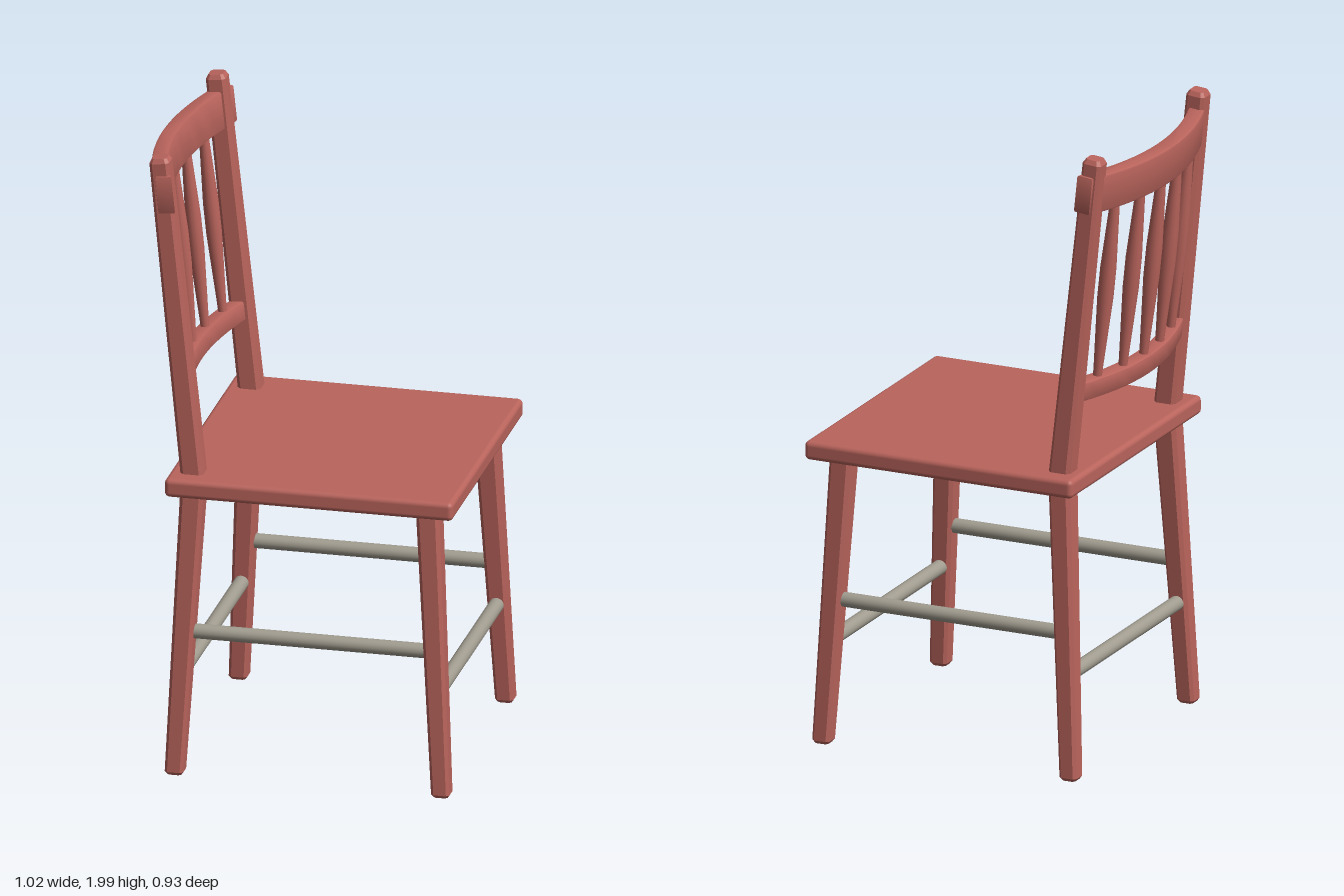
import * as THREE from 'three';
import { toCreasedNormals } from 'three/addons/utils/BufferGeometryUtils.js';
import { RoundedBoxGeometry } from 'three/addons/geometries/RoundedBoxGeometry.js';

const redWood = new THREE.MeshStandardMaterial({ color: 0xb9645c });
redWood.name = 'redWood';
const greyWood = new THREE.MeshStandardMaterial({ color: 0xa19c8f });
greyWood.name = 'greyWood';

// Tapered square bar with chamfered corners; each section is [x, y, z, halfWidth]
function chamferedBar(sections) {
  const c = 0.68;
  const outline = [[1, -c], [1, c], [c, 1], [-c, 1], [-1, c], [-1, -c], [-c, -1], [c, -1]];
  const rings = sections.map(([x, y, z, h]) => outline.map(([u, v]) => [x + u * h, y, z + v * h]));
  const pos = [];
  const tri = (...points) => points.forEach((p) => pos.push(...p));
  const top = rings[rings.length - 1];
  for (let i = 0; i < 8; i++) {
    const j = (i + 1) % 8;
    for (let k = 0; k < rings.length - 1; k++) {
      const a = rings[k], b = rings[k + 1];
      tri(a[i], b[i], a[j]);
      tri(a[j], b[i], b[j]);
    }
    tri(sections[0].slice(0, 3), rings[0][i], rings[0][j]);
    tri(sections[sections.length - 1].slice(0, 3), top[j], top[i]);
  }
  const geo = new THREE.BufferGeometry();
  geo.setAttribute('position', new THREE.Float32BufferAttribute(pos, 3));
  geo.computeVertexNormals();
  return geo;
}

// Backward bow of the rails at sideways position z
const bow = (z) => -0.065 * (1 - (z / 0.37) ** 2);

// Curved rail: bowed plan outline extruded upwards with a small bevel
function railGeometry(halfLength, thickness, height) {
  const bevel = 0.007, n = 16, half = thickness / 2 - bevel, len = halfLength - bevel;
  const front = [], back = [];
  for (let i = 0; i <= n; i++) {
    const z = len * (2 * i / n - 1);
    back.push(new THREE.Vector2(z, bow(z) - half));
    front.unshift(new THREE.Vector2(z, bow(z) + half));
  }
  const geo = new THREE.ExtrudeGeometry(new THREE.Shape([...back, ...front]), {
    depth: height - 2 * bevel, bevelThickness: bevel, bevelSize: bevel, bevelSegments: 2,
  });
  geo.translate(0, 0, bevel - height / 2);
  geo.applyMatrix4(new THREE.Matrix4().makeBasis(
    new THREE.Vector3(0, 0, 1), new THREE.Vector3(1, 0, 0), new THREE.Vector3(0, 1, 0)));
  return toCreasedNormals(geo, 0.5);
}

export function createModel() {
  const chair = new THREE.Group();
  chair.name = 'chair';
  const add = (parent, name, geo, material, x = 0, y = 0, z = 0) => {
    const mesh = new THREE.Mesh(geo, material);
    mesh.name = name;
    mesh.position.set(x, y, z);
    parent.add(mesh);
    return mesh;
  };

  // Seat
  add(chair, 'seat', new RoundedBoxGeometry(0.905, 0.06, 0.93, 3, 0.016), redWood, 0.055, 0.95, 0);

  // Splayed legs and side stretchers
  for (const s of [-1, 1]) {
    for (const [name, footX, topX] of [['frontLeg', 0.463, 0.413], ['backLeg', -0.373, -0.325]]) {
      add(chair, name, chamferedBar([
        [footX, 0.005, s * 0.416, 0.022],
        [footX, 0.015, s * 0.416, 0.029],
        [topX, 0.94, s * 0.371, 0.037],
      ]), redWood);
    }
    const side = add(chair, 'sideStretcher', new THREE.CylinderGeometry(0.023, 0.023, 0.78, 20), greyWood, 0.045, 0.465, s * 0.393);
    side.rotation.z = Math.PI / 2;
  }

  // Front and back stretchers
  for (const [name, x] of [['frontStretcher', 0.445], ['backStretcher', -0.356]]) {
    const bar = add(chair, name, new THREE.CylinderGeometry(0.023, 0.023, 0.79, 20), greyWood, x, 0.333, 0);
    bar.rotation.x = Math.PI / 2;
  }

  // Backrest, leaning backwards as one group
  const backrest = new THREE.Group();
  backrest.name = 'backrest';
  backrest.position.set(-0.323, 0.95, 0);
  backrest.rotation.z = 0.104;
  chair.add(backrest);

  for (const s of [-1, 1]) {
    add(backrest, 'backPost', chamferedBar([
      [0, 0, s * 0.373, 0.036],
      [0, 1.038, s * 0.367, 0.031],
      [0, 1.052, s * 0.367, 0.023],
    ]), redWood);
  }
  add(backrest, 'topRail', railGeometry(0.405, 0.052, 0.122), redWood, 0, 0.938, 0);
  add(backrest, 'lowerRail', railGeometry(0.38, 0.052, 0.062), redWood, 0, 0.285, 0);

  // Turned spindles, thickest in the middle
  const profile = [[0.013, 0.29], [0.015, 0.35], [0.020, 0.46], [0.025, 0.57],
    [0.025, 0.67], [0.020, 0.78], [0.016, 0.87], [0.015, 0.92]].map(([r, y]) => new THREE.Vector2(r, y));
  for (let i = -2; i <= 2; i++) {
    const z = i * 0.13;
    add(backrest, 'spindle', new THREE.LatheGeometry(profile, 12), redWood, bow(z), 0, z);
  }
  return chair;
}
